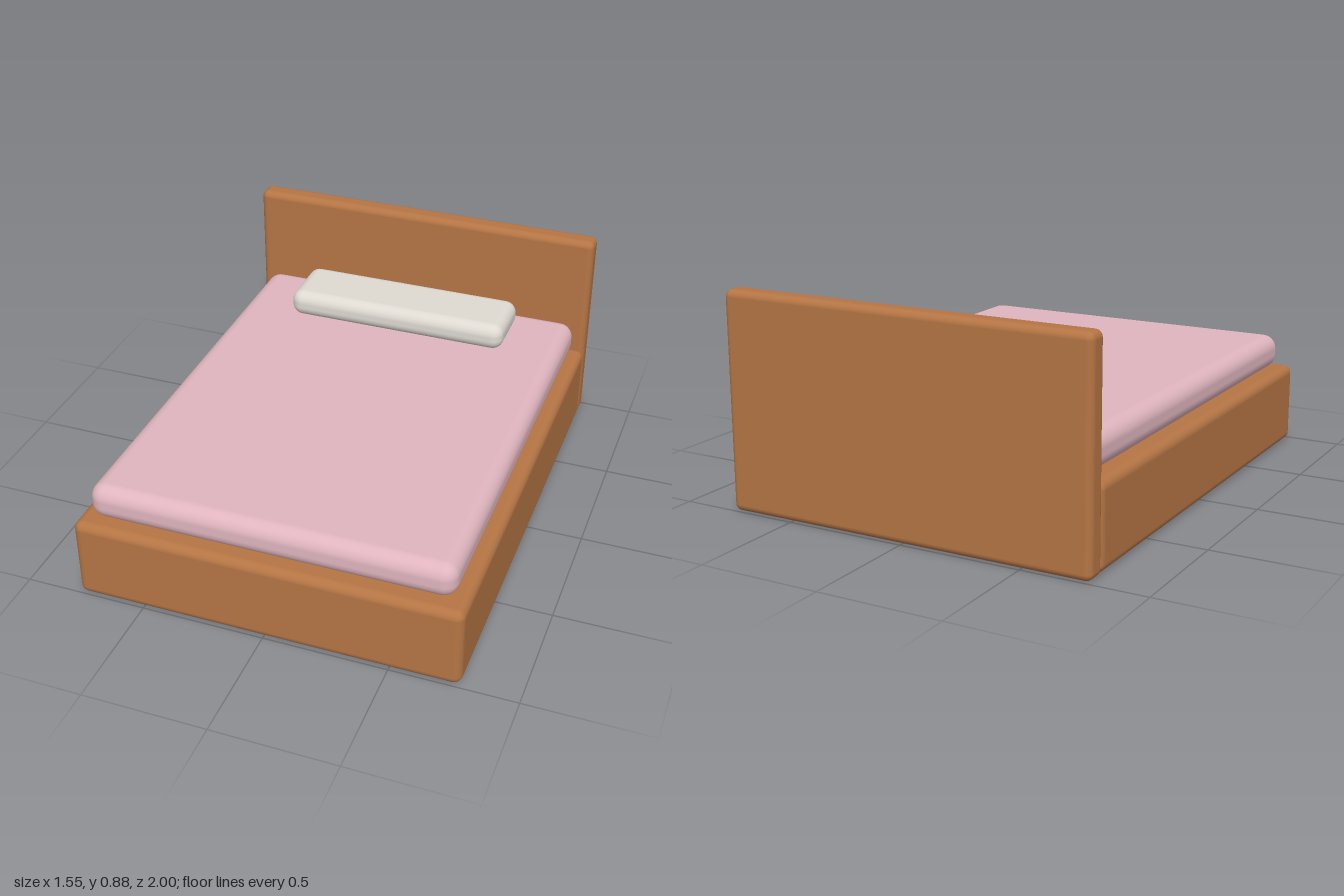
import * as THREE from 'three';
import { RoundedBoxGeometry } from 'three/addons/geometries/RoundedBoxGeometry.js';

const flat = (name, color) => {
  const m = new THREE.MeshStandardMaterial({ color });
  m.name = name;
  return m;
};

// Soft-edged box given by its extents on each axis
function softBox(name, material, [x0, x1], [y0, y1], [z0, z1], radius) {
  const geometry = new RoundedBoxGeometry(x1 - x0, y1 - y0, z1 - z0, 4, radius);
  const mesh = new THREE.Mesh(geometry, material);
  mesh.name = name;
  mesh.position.set((x0 + x1) / 2, (y0 + y1) / 2, (z0 + z1) / 2);
  return mesh;
}

export function createModel() {
  const wood = flat('wood', 0xb57544);
  const pink = flat('pink bedding', 0xe0b5bf);
  const linen = flat('pale linen', 0xdedad2);

  const bed = new THREE.Group();
  bed.name = 'bed';
  bed.add(
    // Wooden frame, slightly overlapping the headboard
    softBox('bedBase', wood, [-0.777, 0.777], [0, 0.34], [-0.92, 1], 0.035),
    softBox('headboard', wood, [-0.777, 0.777], [0, 0.875], [-1, -0.903], 0.029),
    // Bedding
    softBox('mattress', pink, [-0.728, 0.728], [0.34, 0.486], [-0.903, 0.95], 0.06),
    softBox('pillow', linen, [-0.486, 0.486], [0.486, 0.603], [-0.806, -0.515], 0.05)
  );
  return bed;
}
